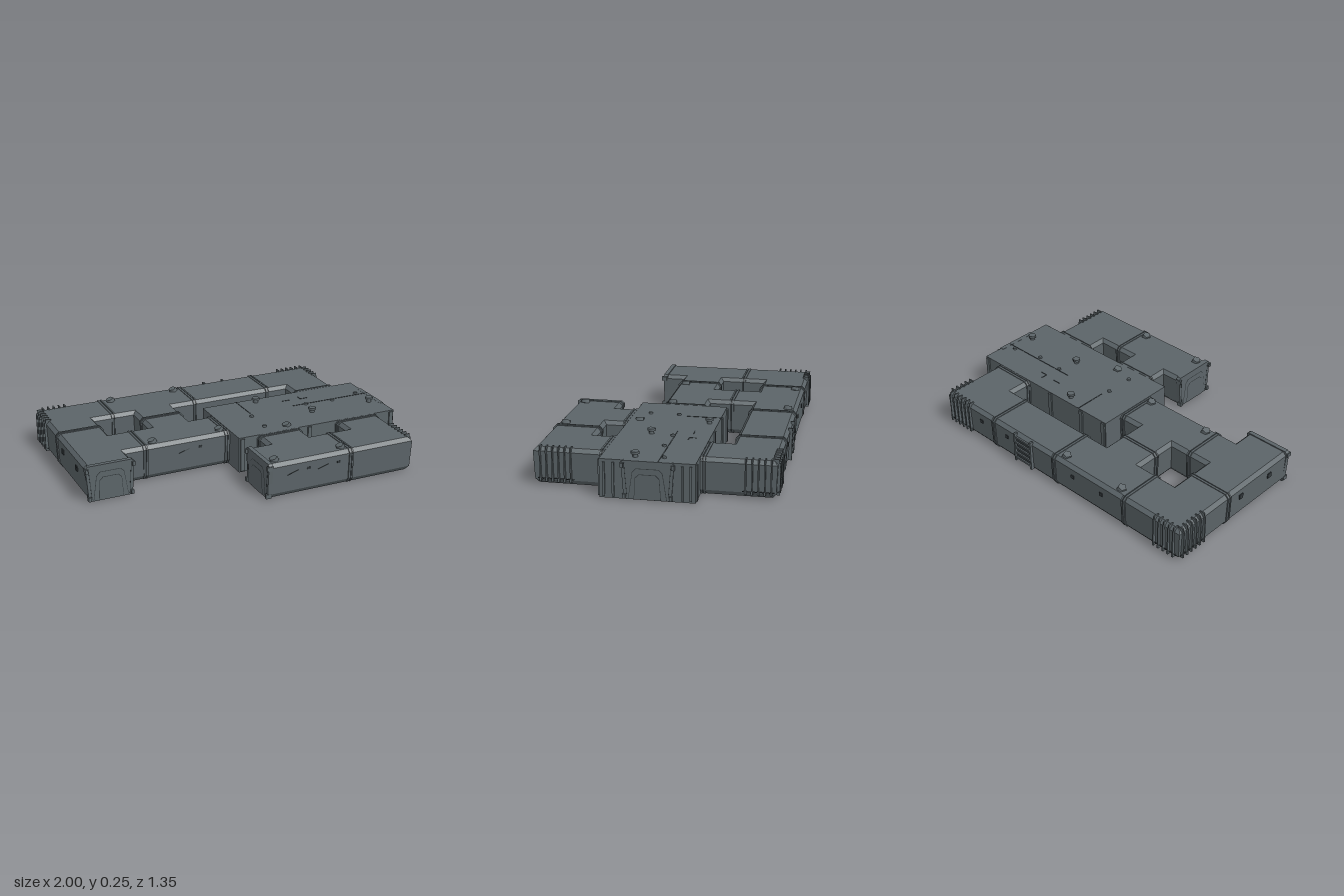
import * as THREE from 'three';

const body = new THREE.MeshStandardMaterial({ color: 0x5b6468 });
body.name = 'hullGrey';
const dark = new THREE.MeshStandardMaterial({ color: 0x33393c });
dark.name = 'darkSeam';

// Corridor section: [inset from the wall line, height]
const SECTION = [[0.025, 0.004], [0.006, 0.03], [0, 0.19], [0.02, 0.211]];

function add(parent, name, geometry, x = 0, y = 0, z = 0, material = body) {
  const mesh = new THREE.Mesh(geometry, material);
  mesh.name = name;
  mesh.position.set(x, y, z);
  parent.add(mesh);
  return mesh;
}
const box = (w, h, d) => new THREE.BoxGeometry(w, h, d);

// Inset a right-angled loop; the solid lies on the left of each edge
function inset(loop, d) {
  const n = loop.length;
  const normal = (a, b) => {
    const l = Math.hypot(b[0] - a[0], b[1] - a[1]);
    return [-(b[1] - a[1]) / l, (b[0] - a[0]) / l];
  };
  return loop.map((p, i) => {
    const a = normal(loop[(i + n - 1) % n], p), b = normal(p, loop[(i + 1) % n]);
    return [p[0] + (a[0] + b[0]) * d, p[1] + (a[1] + b[1]) * d];
  });
}

function wallGeometry(loops) {
  const pos = [];
  for (const loop of loops) {
    const rings = SECTION.map(([d, y]) => inset(loop, d).map(([x, z]) => [x, y, z]));
    for (let k = 0; k < rings.length - 1; k++) {
      for (let i = 0; i < loop.length; i++) {
        const j = (i + 1) % loop.length;
        const a = rings[k][i], b = rings[k][j], c = rings[k + 1][j], d = rings[k + 1][i];
        pos.push(...a, ...d, ...c, ...a, ...c, ...b);
      }
    }
  }
  const g = new THREE.BufferGeometry();
  g.setAttribute('position', new THREE.Float32BufferAttribute(pos, 3));
  g.computeVertexNormals();
  return g;
}

// Flat roof (up = 1) or underside (up = -1)
function capGeometry(loops, d, up) {
  const paths = loops.map(l => inset(l, d).map(([x, z]) => new THREE.Vector2(x, -up * z)));
  const shape = new THREE.Shape(paths[0]);
  shape.holes = paths.slice(1).map(p => new THREE.Path(p));
  return new THREE.ShapeGeometry(shape).rotateX(-up * Math.PI / 2);
}

// Raised collar around a corridor running along x or z
function collar(parent, axis, at, c0, c1) {
  const mid = (c0 + c1) / 2, half = (c1 - c0) / 2;
  const slice = (name, grow, t, mat) => {
    const right = SECTION.map(([d, y]) => new THREE.Vector2(half + grow - d, y < 0.01 ? y : y + grow * 0.6));
    const left = right.map(p => new THREE.Vector2(-p.x, p.y)).reverse();
    const g = new THREE.ExtrudeGeometry(new THREE.Shape([...right, ...left]), { depth: t, bevelEnabled: false });
    g.translate(0, 0, -t / 2);
    if (axis === 'x') g.rotateY(Math.PI / 2).translate(at, 0, mid);
    else g.translate(mid, 0, at);
    add(parent, name, g, 0, 0, 0, mat);
  };
  slice('collarSeam', 0.004, 0.008, dark);
  for (const s of [-1, 1]) {
    at += s * 0.009;
    slice('collarRib', 0.007, 0.009, body);
    at -= s * 0.009;
  }
}

// Tapered arch outline, wide at the foot
const archPoints = (foot, head, shoulder, top) => [[-foot, 0.008], [foot, 0.008], [head + 0.012, shoulder],
  [head - 0.008, top], [-head + 0.008, top], [-head - 0.012, shoulder]].map(p => new THREE.Vector2(...p));

function doorway(parent, x, z, turn) {
  const g = new THREE.Group();
  g.name = 'doorway';
  g.position.set(x, 0, z);
  g.rotation.y = turn;
  const frame = new THREE.Shape([[-0.128, 0.003], [0.128, 0.003], [0.142, 0.205], [0.13, 0.216],
    [-0.13, 0.216], [-0.142, 0.205]].map(p => new THREE.Vector2(...p)));
  add(g, 'doorFrame', new THREE.ExtrudeGeometry(frame, { depth: 0.026, bevelEnabled: false }), 0, 0, -0.022);
  const layers = [[0.104, 0.07, 0.155, 0.176, dark], [0.101, 0.067, 0.153, 0.173, body],
    [0.073, 0.054, 0.125, 0.145, dark], [0.07, 0.051, 0.123, 0.142, body]];
  layers.forEach(([f, h, s, t, mat], i) => add(g, i < 2 ? 'doorSurround' : 'doorLeaf',
    new THREE.ShapeGeometry(new THREE.Shape(archPoints(f, h, s, t))), 0, 0, 0.0055 + i * 0.0015, mat));
  for (const s of [-1, 1]) {
    add(g, 'frameLine', box(0.003, 0.19, 0.002), s * 0.118, 0.11, 0.004, dark).rotation.z = -s * 0.08;
    for (const y of [0.02, 0.19]) add(g, 'frameClamp', box(0.016, 0.025, 0.03), s * (y > 0.1 ? 0.137 : 0.125), y, 0);
  }
  parent.add(g);
}

// Row of upright cooling fins on a wall; turn points the fins outward
function finRow(parent, x, z, turn, count, step) {
  const g = new THREE.Group();
  g.name = 'coolingFins';
  g.position.set(x, 0, z);
  g.rotation.y = turn;
  for (let i = 0; i < count; i++) {
    const u = (i - (count - 1) / 2) * step;
    add(g, 'fin', box(0.007, 0.17, 0.02), u, 0.113, 0.002);
    add(g, 'finTop', box(0.007, 0.022, 0.034), u, 0.209, -0.012);
    add(g, 'finFoot', box(0.011, 0.02, 0.024), u, 0.032, 0);
  }
  add(g, 'finRail', box(count * step, 0.004, 0.004), 0, 0.038, 0.001, dark);
  parent.add(g);
}

function roofVent(parent, x, z, tall) {
  const g = new THREE.Group();
  g.name = 'roofVent';
  g.position.set(x, 0.211, z);
  if (tall) {
    add(g, 'ventStem', new THREE.CylinderGeometry(0.013, 0.016, 0.03, 6), 0, 0.012, 0);
    add(g, 'ventCap', new THREE.CylinderGeometry(0.024, 0.024, 0.014, 6), 0, 0.028, 0);
  } else {
    add(g, 'ventDisc', new THREE.CylinderGeometry(0.025, 0.029, 0.022, 5), 0, 0.006, 0).rotation.z = 0.35;
  }
  parent.add(g);
}

export function createModel() {
  const model = new THREE.Group();
  model.name = 'corridorComplex';

  // Joined corridors with three open courtyards
  const hole = (x0, z0, x1, z1) => [[x0, z0], [x0, z1], [x1, z1], [x1, z0]];
  const loops = [
    [[-0.985, -0.66], [0.855, -0.66], [0.855, 0.665], [-0.065, 0.665], [-0.065, 0.39], [0.06, 0.39],
      [0.06, 0.14], [-0.71, 0.14], [-0.71, 0.265], [-0.985, 0.265]],
    hole(-0.71, -0.385, -0.46, -0.125),
    hole(-0.2, -0.385, 0.58, -0.125),
    hole(0.335, 0.2, 0.58, 0.39)];
  add(model, 'corridorWalls', wallGeometry(loops));
  add(model, 'corridorRoof', capGeometry(loops, 0.02, 1), 0, 0.211, 0);
  add(model, 'corridorFloor', capGeometry(loops, 0.025, -1), 0, 0.004, 0);

  // Main hall
  add(model, 'mainHall', box(1.04, 0.215, 0.515), 0.46, 0.1075, 0.008);
  for (const z of [-0.25, 0.266]) {
    for (const x of [-0.04, 0.14, 0.4, 0.96]) add(model, 'hallButtress', box(0.025, 0.2, 0.016), x, 0.108, z);
  }
  for (const z of [-0.225, -0.18, 0.19, 0.24]) add(model, 'hallEndPost', box(0.014, 0.19, 0.012), 0.982, 0.105, z);

  // Doorways at the open ends
  doorway(model, -0.848, 0.268, 0);
  doorway(model, 0.983, 0.005, Math.PI / 2);
  doorway(model, -0.068, 0.527, -Math.PI / 2);

  // Collars: [axis, position, side from, side to]
  [['x', -0.587, -0.66, -0.385], ['x', -0.05, -0.66, -0.385], ['x', 0.452, -0.66, -0.385],
    ['x', -0.587, -0.125, 0.14], ['x', -0.078, -0.125, 0.14], ['x', 0.45, 0.39, 0.665],
    ['z', -0.255, -0.985, -0.71], ['z', -0.265, 0.58, 0.855], ['z', -0.255, -0.46, -0.2],
    ['z', 0.28, 0.06, 0.335], ['z', 0.28, 0.58, 0.855]].forEach(c => collar(model, ...c));

  // Cooling fins on the outer corners
  const H = Math.PI / 2;
  finRow(model, 0.745, -0.66, Math.PI, 6, 0.034);
  finRow(model, 0.855, -0.56, H, 5, 0.034);
  finRow(model, -0.985, -0.55, -H, 6, 0.034);
  finRow(model, -0.88, -0.66, Math.PI, 5, 0.034);
  finRow(model, 0.855, 0.54, H, 6, 0.034);

  // Ladder vent on the back wall
  for (const x of [0.13, 0.26]) add(model, 'ladderRail', box(0.012, 0.19, 0.022), x, 0.115, -0.663);
  for (let i = 0; i < 5; i++) add(model, 'ladderSlat', box(0.12, 0.012, 0.014), 0.195, 0.04 + i * 0.036, -0.663);
  add(model, 'ladderBacking', box(0.12, 0.16, 0.003), 0.195, 0.11, -0.66, dark);

  // Roof vents
  [[-0.53, -0.61], [-0.11, -0.61], [-0.53, 0.09], [-0.11, 0.09], [-0.015, 0.61], [0.405, 0.61], [0.275, 0.205]]
    .forEach(([x, z]) => roofVent(model, x, z, false));
  [[0.275, -0.2], [0.515, 0.085], [0.915, 0.085]].forEach(([x, z]) => roofVent(model, x, z, true));

  // Hall roof seams: [x, z, width, depth]
  [[0.715, -0.05, 0.53, 0.006], [0.165, -0.15, 0.006, 0.2], [0.575, -0.135, 0.045, 0.006],
    [0.553, -0.155, 0.006, 0.04], [0.455, -0.145, 0.05, 0.006]]
    .forEach(([x, z, w, d]) => add(model, 'roofSeam', box(w, 0.003, d), x, 0.2155, z, dark));
  for (const [x, z] of [[0.15, 0], [0.15, 0.17], [0.54, -0.04], [0.72, -0.03], [0.91, -0.07]]) {
    add(model, 'roofStud', new THREE.CylinderGeometry(0.011, 0.013, 0.012, 6), x, 0.219, z);
  }

  // Wall scratches and small service ports
  for (const [x, z] of [[0.08, 0.664], [0.27, 0.664], [-0.35, 0.139]]) {
    add(model, 'wallScratch', box(0.07, 0.003, 0.003), x, 0.14, z, dark).rotation.z = 0.3;
    add(model, 'wallPort', box(0.022, 0.012, 0.006), x + 0.1, 0.15, z, dark);
  }
  for (const x of [-0.42, -0.2, 0.34, 0.56]) add(model, 'wallPort', box(0.022, 0.022, 0.006), x, 0.14, -0.66, dark);
  for (const z of [-0.15, 0.1]) add(model, 'wallPort', box(0.008, 0.03, 0.03), -0.985, 0.14, z, dark);
  return model;
}
